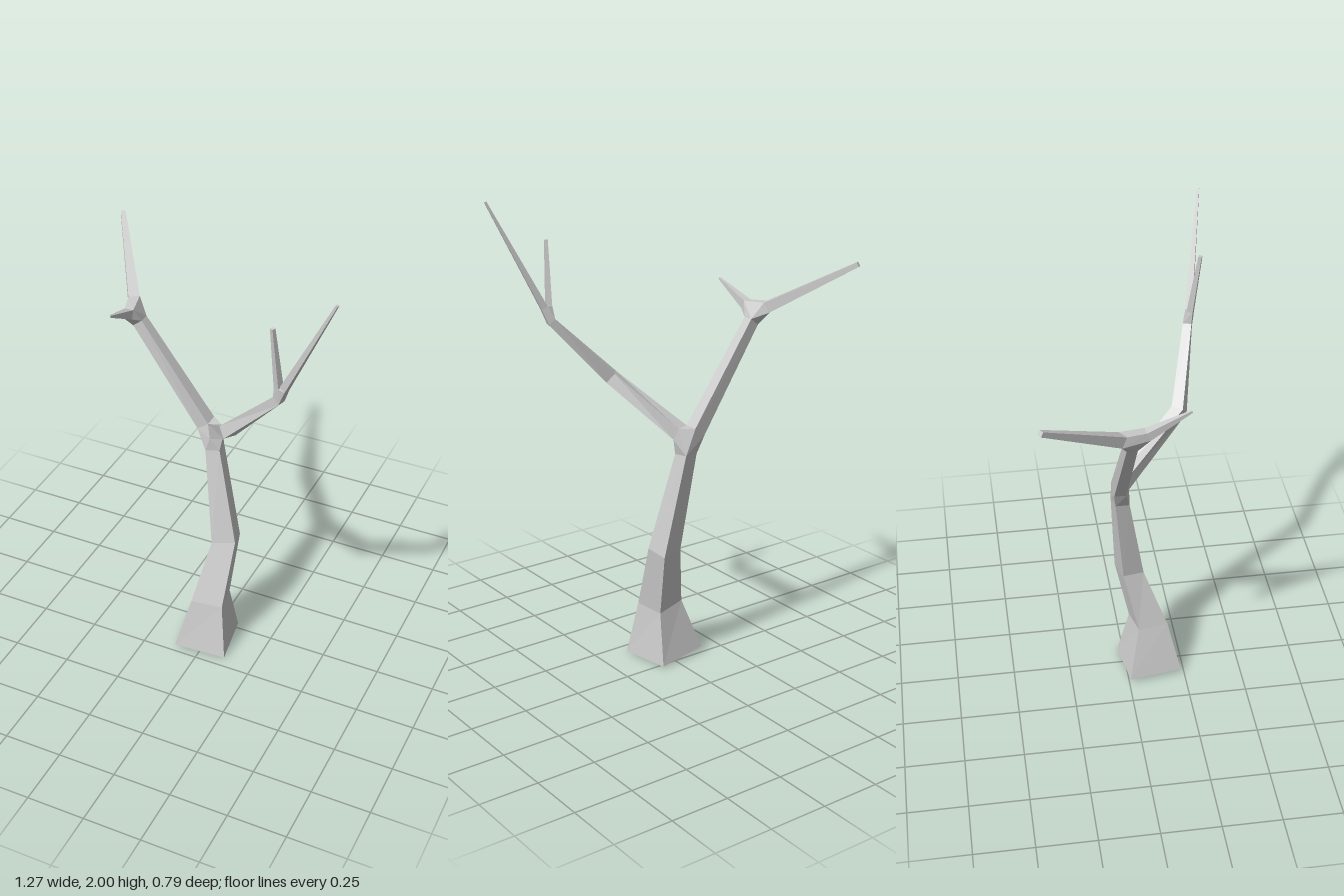
import * as THREE from 'three';
import { ConvexGeometry } from 'three/addons/geometries/ConvexGeometry.js';

const V = (x, y, z) => new THREE.Vector3(x, y, z);
const corners = list => list.map(p => V(...p));

// Square cross-section at c, facing along t
function ring(c, t, w) {
  const side = t.clone().cross(V(0, 1, 0)).normalize();
  const up = side.clone().cross(t).normalize();
  return [[-1, -1], [-1, 1], [1, 1], [1, -1]].map(([s, u]) =>
    c.clone().addScaledVector(side, s * w / 2).addScaledVector(up, u * w / 2));
}

// Rings along a path of [x, y, z, width]
function ringsAlong(path) {
  const pts = path.map(p => V(p[0], p[1], p[2]));
  return pts.map((c, i) => {
    const next = pts[Math.min(i + 1, pts.length - 1)];
    const prev = pts[Math.max(i - 1, 0)];
    const a = next.clone().sub(c).normalize(), b = c.clone().sub(prev).normalize();
    return ring(c, a.add(b).normalize(), path[i][3]);
  });
}

// Four-sided skin through the rings, closed at both ends
function loft(rings) {
  const pos = [];
  const quad = (a, b, c, d) => [a, b, c, a, c, d].forEach(p => pos.push(p.x, p.y, p.z));
  for (let i = 0; i < rings.length - 1; i++) {
    for (let k = 0; k < 4; k++) {
      const n = (k + 1) % 4;
      quad(rings[i][k], rings[i][n], rings[i + 1][n], rings[i + 1][k]);
    }
  }
  quad(...[...rings[0]].reverse());
  quad(...rings[rings.length - 1]);
  const g = new THREE.BufferGeometry();
  g.setAttribute('position', new THREE.Float32BufferAttribute(pos, 3));
  g.computeVertexNormals();
  return g;
}

export function createModel() {
  const tree = new THREE.Group();
  tree.name = 'bareTree';
  const bark = new THREE.MeshStandardMaterial({ color: 0xcccccc, flatShading: true });
  const add = (name, geometry) => {
    const mesh = new THREE.Mesh(geometry, bark);
    mesh.name = name;
    tree.add(mesh);
  };
  const hull = (...rings) => new ConvexGeometry(rings.flat());

  // Leaning trunk
  const trunk = [
    [[-0.145, 0.025, 0.005], [-0.105, 0.02, 0.235], [0.115, 0, 0.2], [0.08, 0.005, -0.025]],
    [[-0.07, 0.25, 0.05], [-0.05, 0.25, 0.18], [0.083, 0.24, 0.155], [0.06, 0.23, 0.025]],
    [[-0.02, 0.52, -0.01], [0, 0.515, 0.08], [0.098, 0.53, 0.055], [0.08, 0.51, -0.035]],
    [[-0.073, 0.945, -0.05], [-0.06, 0.935, 0.01], [0, 0.945, 0], [-0.01, 0.95, -0.063]],
  ].map(corners);
  add('trunk', loft(trunk));

  // Main fork
  const rightStart = corners([[-0.105, 1.02, -0.01], [-0.055, 1.06, -0.005],
    [-0.055, 1.06, -0.065], [-0.105, 1.02, -0.06]]);
  const leftStart = corners([[0.012, 1.01, -0.005], [0, 1.06, -0.025],
    [-0.055, 1.06, -0.005], [-0.04, 1.0, 0.01]]);
  add('mainFork', hull(trunk[3], rightStart, leftStart));

  // Right branch with a back and a front twig
  const rightEnd = corners([[-0.388, 1.445, -0.008], [-0.35, 1.475, -0.01],
    [-0.35, 1.475, -0.053], [-0.388, 1.445, -0.05]]);
  const backTwig = ringsAlong([[-0.418, 1.522, -0.077, 0.046], [-0.624, 1.727, -0.388, 0.02]]);
  const frontTwig = ringsAlong([[-0.388, 1.518, 0.03, 0.038], [-0.378, 1.598, 0.197, 0.008]]);
  add('rightBranch', loft([rightStart, rightEnd]));
  add('rightFork', hull(rightEnd, backTwig[0], frontTwig[0]));
  add('rightBackTwig', loft(backTwig));
  add('rightFrontTwig', loft(frontTwig));

  // Left branch with a tall twig and a short upright one
  const leftBends = ringsAlong([[-0.02, 1.03, -0.005, 0.05], [0.148, 1.245, 0.245, 0.052],
    [0.388, 1.502, 0.315, 0.036]]).slice(1);
  const tallTwig = ringsAlong([[0.413, 1.56, 0.325, 0.028], [0.626, 1.997, 0.389, 0.009]]);
  const shortTwig = ringsAlong([[0.39, 1.565, 0.326, 0.026], [0.375, 1.825, 0.358, 0.014]]);
  add('leftBranch', loft([leftStart, ...leftBends]));
  add('leftFork', hull(leftBends[1], tallTwig[0], shortTwig[0]));
  add('leftTallTwig', loft(tallTwig));
  add('leftShortTwig', loft(shortTwig));

  return tree;
}
